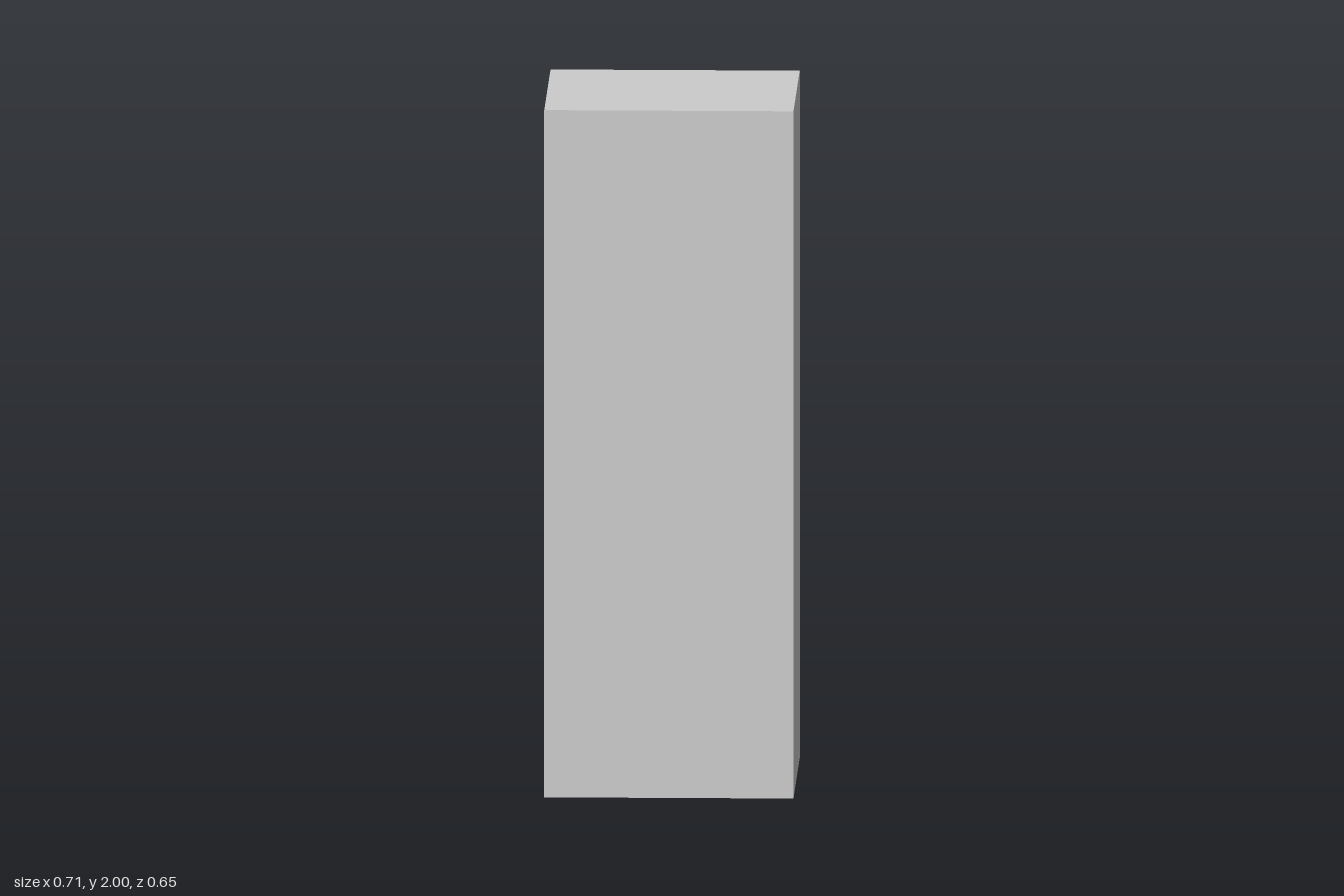
import * as THREE from 'three';

const W = 0.357, D = 0.327, H = 2;      // outer half width, half depth, height
const t = 0.03;                         // wall thickness
const a = W - t, F = D - t, T = 1.965;  // inner half width, front wall plane, ceiling height at the front
const S = 1.757, c = 0.16, A = 1.887;   // arch: spring height, half width and height of its flat top

const material = new THREE.MeshStandardMaterial({ color: 0xcccccc });

export function createModel() {
  const group = new THREE.Group();

  const add = (name, geometry) => {
    const mesh = new THREE.Mesh(geometry, material);
    mesh.name = name;
    group.add(mesh);
  };

  // Surface from corner points and triangles, smooth across shared corners
  const surface = (name, points, faces = [0, 1, 2, 0, 2, 3]) => {
    const geometry = new THREE.BufferGeometry();
    geometry.setAttribute('position', new THREE.Float32BufferAttribute(points.flat(), 3));
    geometry.setIndex(faces);
    geometry.computeVertexNormals();
    add(name, geometry);
  };

  const outline = (points) =>
    new THREE.ShapeGeometry(new THREE.Shape(points.map(([x, y]) => new THREE.Vector2(x, y))));

  // Outer shell
  surface('frontPanel', [[-W, 0, D], [W, 0, D], [W, H, D], [-W, H, D]]);
  surface('topPanel', [[-W, H, D], [W, H, D], [W, H, -D], [-W, H, -D]]);
  surface('leftPanel', [[W, 0, D], [W, 0, -D], [W, H, -D], [W, H, D]]);
  surface('rightPanel', [[-W, 0, -D], [-W, 0, D], [-W, H, D], [-W, H, -D]]);

  // Back frame around the faceted arch
  add('backArchFrame', outline([
    [-W, 0], [-a, 0], [-a, S], [-c, A], [c, A], [a, S], [a, 0], [W, 0], [W, H], [-W, H],
  ]).rotateY(Math.PI).translate(0, 0, -D));

  // U-shaped rim under the walls
  add('bottomRim', outline([
    [-W, -D], [-a, -D], [-a, F], [a, F], [a, -D], [W, -D], [W, D], [-W, D],
  ]).rotateX(Math.PI / 2));

  // Inside: front wall, and a ceiling that widens from the arch top to the front
  surface('innerFrontWall', [[a, 0, F], [-a, 0, F], [-a, T, F], [a, T, F]]);
  surface('innerCeiling', [[-c, A, -D], [c, A, -D], [a, T, F], [-a, T, F]]);

  // Inner side walls, each blending into a sloped triangle at the arch
  for (const s of [1, -1]) {
    const faces = [0, 1, 2, 0, 2, 3, 3, 2, 4];
    if (s < 0) faces.reverse();
    surface(s > 0 ? 'innerLeftWall' : 'innerRightWall',
      [[s * a, 0, -D], [s * a, 0, F], [s * a, T, F], [s * a, S, -D], [s * c, A, -D]], faces);
  }

  return group;
}
